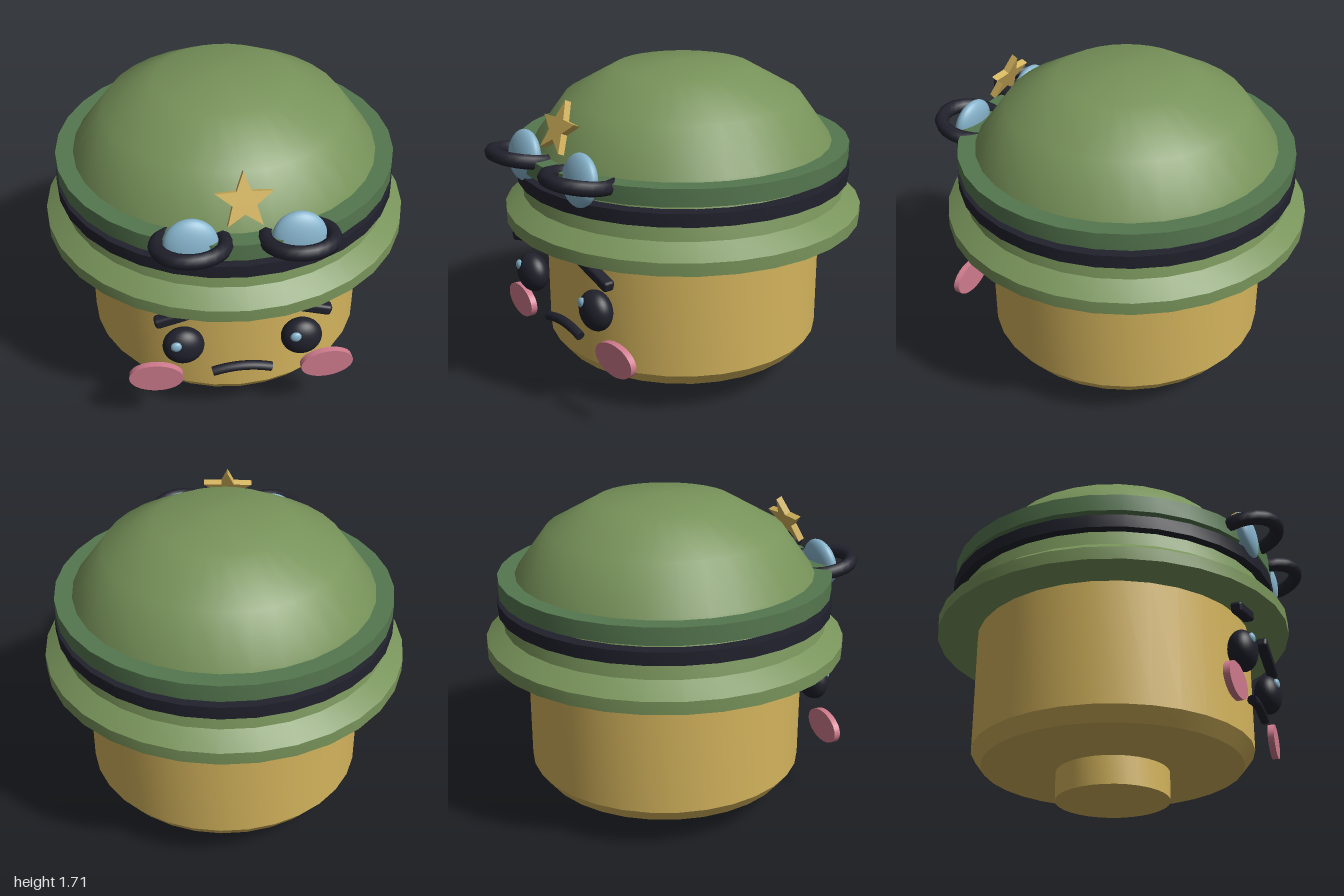
import * as THREE from 'three';
import { toCreasedNormals } from 'three/addons/utils/BufferGeometryUtils.js';
import { RoundedBoxGeometry } from 'three/addons/geometries/RoundedBoxGeometry.js';

const material = (name, color) => {
  const m = new THREE.MeshStandardMaterial({ color });
  m.name = name;
  return m;
};

export function createModel() {
  const gold = material('warm gold', 0xd3b35c);
  const green = material('helmet green', 0x78935a);
  const darkGreen = material('band green', 0x55774f);
  const black = material('soft black', 0x20212c);
  const blue = material('lens blue', 0x86b3cb);
  const pink = material('cheek pink', 0xcf7b8d);

  const model = new THREE.Group();
  const bodyZ = -0.037;

  const add = (name, geometry, mat, x = 0, y = 0, z = 0, parent = model) => {
    const mesh = new THREE.Mesh(geometry, mat);
    mesh.name = name;
    mesh.position.set(x, y, z);
    parent.add(mesh);
    return mesh;
  };

  // Round parts turned from [radius, height] points, bottom to top
  const turned = (name, points, mat, segments = 32) => {
    const profile = points.map(([r, y]) => new THREE.Vector2(r, y));
    const geometry = toCreasedNormals(new THREE.LatheGeometry(profile, segments), 0.5);
    return add(name, geometry, mat, 0, 0, bodyZ);
  };

  turned('neck', [[0, 0], [0.3, 0], [0.3, 0.16]], gold);
  turned('head', [[0, 0.145], [0.3, 0.15], [0.69, 0.172], [0.745, 0.245], [0.745, 0.9]], gold);
  turned('helmet', [
    [0, 0.893], [0.96, 0.893], [0.96, 0.96], [0.865, 1.03], [0.84, 1.13],
    [0.79, 1.31], [0.625, 1.535], [0.36, 1.683], [0, 1.707],
  ], green);
  turned('helmetBand', [[0.78, 1.21], [0.885, 1.21], [0.885, 1.3], [0.76, 1.3]], darkGreen);
  turned('goggleStrap', [[0.8, 1.112], [0.892, 1.112], [0.892, 1.18], [0.8, 1.18]], black);

  const sphere = new THREE.SphereGeometry(1, 32, 20);
  for (const side of [-1, 1]) {
    const label = side > 0 ? 'left' : 'right';

    // Eye with a glint on the same side for both
    add(label + 'Eye', sphere, black, side * 0.302, 0.607, 0.75).scale.set(0.106, 0.106, 0.075);
    add(label + 'EyeGlint', sphere, blue, side * 0.302 - 0.038, 0.65, 0.806).scale.set(0.03, 0.028, 0.018);

    // Worried brow, higher toward the middle
    const brow = add(label + 'Brow', new RoundedBoxGeometry(0.3, 0.056, 0.06, 2, 0.016), black,
      side * 0.298, 0.823, 0.758);
    brow.rotation.z = -side * 0.28;

    // Oval cheek disc, turned slightly outward
    const disc = new THREE.CylinderGeometry(1, 1, 1, 32);
    disc.rotateX(Math.PI / 2);
    const cheek = add(label + 'Cheek', disc, pink, side * 0.447, 0.389, 0.738);
    cheek.scale.set(0.14, 0.087, 0.034);
    cheek.rotation.y = side * 0.08;

    // Goggle: upright lens inside a level ring
    const goggle = new THREE.Group();
    goggle.name = label + 'Goggle';
    goggle.position.set(side * 0.257, 1.285, 0.79);
    goggle.rotation.x = -0.17;
    model.add(goggle);
    add('lens', sphere, blue, 0, 0, 0, goggle).scale.set(0.132, 0.132, 0.055);
    const ring = new THREE.TorusGeometry(0.163, 0.038, 8, 24);
    ring.rotateX(Math.PI / 2);
    add('ring', ring, black, 0, 0, 0.003, goggle);
  }

  // Downturned mouth
  const mouthCurve = new THREE.QuadraticBezierCurve3(
    new THREE.Vector3(-0.153, 0.403, 0),
    new THREE.Vector3(0, 0.452, 0),
    new THREE.Vector3(0.153, 0.403, 0),
  );
  add('mouth', new THREE.TubeGeometry(mouthCurve, 16, 0.025, 8), black, 0, 0, 0.752);
  for (const side of [-1, 1]) {
    const cap = new THREE.CircleGeometry(0.025, 8);
    cap.rotateY(side * Math.PI / 2);
    add('mouthEnd', cap, black, side * 0.153, 0.403, 0.752).rotation.z = -side * 0.31;
  }

  // Star badge leaning back against the dome
  const star = new THREE.Shape();
  for (let i = 0; i < 10; i++) {
    const r = i % 2 ? 0.06 : 0.142;
    const a = Math.PI / 2 + (i * Math.PI) / 5;
    star[i ? 'lineTo' : 'moveTo'](r * Math.cos(a), r * Math.sin(a));
  }
  star.closePath();
  const starGeometry = new THREE.ExtrudeGeometry(star, { depth: 0.036, bevelEnabled: false });
  starGeometry.translate(0, 0, -0.018);
  add('starBadge', starGeometry, gold, 0, 1.472, 0.735).rotation.x = -0.42;

  return model;
}
